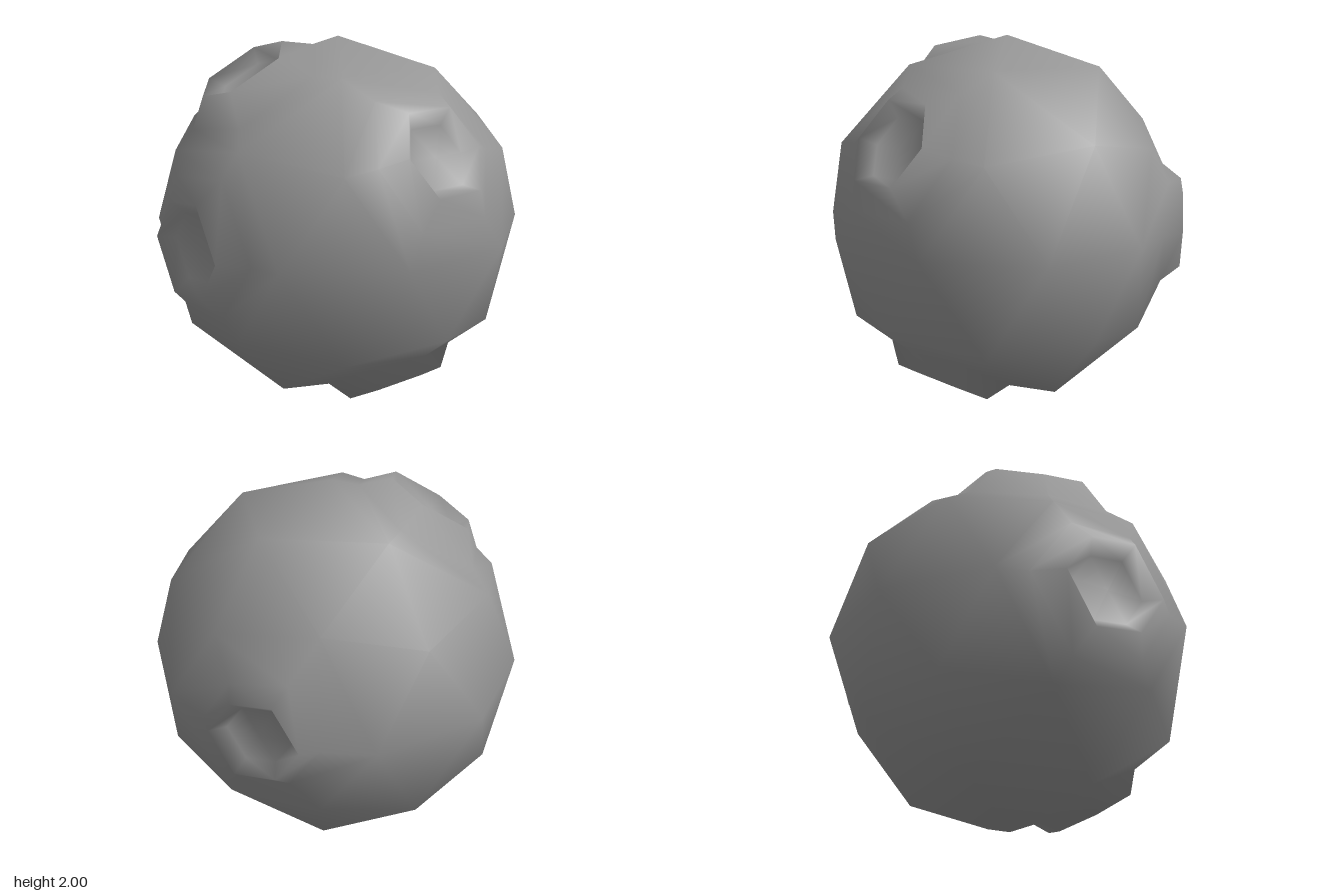
import * as THREE from 'three';

// Craters replace single sphere points: direction, foot and rim reach along the
// edges to the neighbouring points, foot sink, and the level of the flat rim.
const CRATERS = [
  { dir: [-0.425, 0.851, 0.309], foot: 0.74, sink: 0, rim: 0.48, level: 1.0 },
  { dir: [0.688, 0.526, 0.5], foot: 0.68, sink: 0, rim: 0.44, level: 0.985 },
  { dir: [-0.588, 0, 0.809], foot: 0.73, sink: 0, rim: 0.5, level: 0.975 },
  { dir: [0, 0, -1], foot: 0.56, sink: 0, rim: 0.42, level: 0.955 },
  { dir: [0.425, -0.851, 0.309], foot: 0.59, sink: 0.025, rim: 0.445, level: 0.975 },
];
const FLOOR_SCALE = 0.72;
const FLOOR_DEPTH = 0.07;

// Points flattened around the back crater
const FLATTENED = [
  [0.588, 0, -0.809],
  [0.276, 0.447, -0.851],
  [-0.263, 0.526, -0.809],
  [-0.276, -0.447, -0.851],
  [0.263, -0.526, -0.809],
];

// Icosahedron standing on a point, each face split in four
function icoSphere() {
  const points = [new THREE.Vector3(0, 1, 0)];
  for (const [y, start] of [[1, 0], [-1, 36]]) {
    for (let k = 0; k < 5; k++) {
      const a = THREE.MathUtils.degToRad(start + 72 * k);
      points.push(new THREE.Vector3(2 * Math.cos(a), y, 2 * Math.sin(a)).normalize());
    }
  }
  points.push(new THREE.Vector3(0, -1, 0));

  const faces = [];
  for (let k = 0; k < 5; k++) {
    const n = (k + 1) % 5;
    const u = 1 + k, u2 = 1 + n, l = 6 + k, l2 = 6 + n;
    faces.push([0, u2, u], [u, u2, l], [u2, l2, l], [11, l, l2]);
  }

  const mids = new Map();
  const mid = (a, b) => {
    const key = Math.min(a, b) + '_' + Math.max(a, b);
    if (!mids.has(key)) {
      mids.set(key, points.length);
      points.push(points[a].clone().add(points[b]).normalize());
    }
    return mids.get(key);
  };
  const split = faces.flatMap(([a, b, c]) => {
    const ab = mid(a, b), bc = mid(b, c), ca = mid(c, a);
    return [[a, ab, ca], [ab, b, bc], [ca, bc, c], [ab, bc, ca]];
  });
  return { points, faces: split };
}

function crateredSphere() {
  const { points, faces } = icoSphere();
  const nearest = (dir) => {
    const d = new THREE.Vector3(...dir);
    return points.reduce((best, p, i) => (p.dot(d) > points[best].dot(d) ? i : best), 0);
  };

  const craterAt = new Map(CRATERS.map((c) => [nearest(c.dir), c]));
  const normals = new Map([...craterAt.keys()].map((v) => [v, points[v].clone()]));
  for (const v of FLATTENED.map(nearest)) points[v].z += 0.07;

  // Point of a crater ring (foot, rim, floor) on the spoke from centre v to neighbour n
  const rings = new Map();
  const ringPoint = (v, n, ring) => {
    const key = [v, n, ring].join('_');
    if (!rings.has(key)) {
      const c = craterAt.get(v);
      const normal = normals.get(v);
      const reach = [c.foot, c.rim, c.rim * FLOOR_SCALE][ring];
      const p = normal.clone().lerp(points[n], reach);
      const height = p.dot(normal);
      const target = [height - c.sink, c.level, c.level - FLOOR_DEPTH][ring];
      rings.set(key, points.length);
      points.push(p.addScaledVector(normal, target - height));
    }
    return rings.get(key);
  };

  const index = [];
  for (const face of faces) {
    const at = face.findIndex((i) => craterAt.has(i));
    if (at < 0) {
      index.push(...face);
      continue;
    }
    const [v, a, b] = [0, 1, 2].map((k) => face[(at + k) % 3]);
    // Surround, outer slope, inner wall, then floor
    let outer = [a, b];
    for (let ring = 0; ring < 3; ring++) {
      const inner = [ringPoint(v, a, ring), ringPoint(v, b, ring)];
      index.push(inner[0], outer[0], outer[1], inner[0], outer[1], inner[1]);
      outer = inner;
    }
    index.push(v, outer[0], outer[1]);
  }

  // Middle of each flat floor
  for (const [v, c] of craterAt) points[v].setLength(c.level - FLOOR_DEPTH);

  const geometry = new THREE.BufferGeometry().setFromPoints(points);
  geometry.setIndex(index);
  geometry.computeVertexNormals();
  return geometry;
}

export function createModel() {
  const group = new THREE.Group();
  group.name = 'crateredMoon';
  const body = new THREE.Mesh(
    crateredSphere(),
    new THREE.MeshStandardMaterial({ color: 0x969696 })
  );
  body.name = 'moonSurface';
  body.position.set(0, 1, -0.02);
  group.add(body);
  return group;
}
